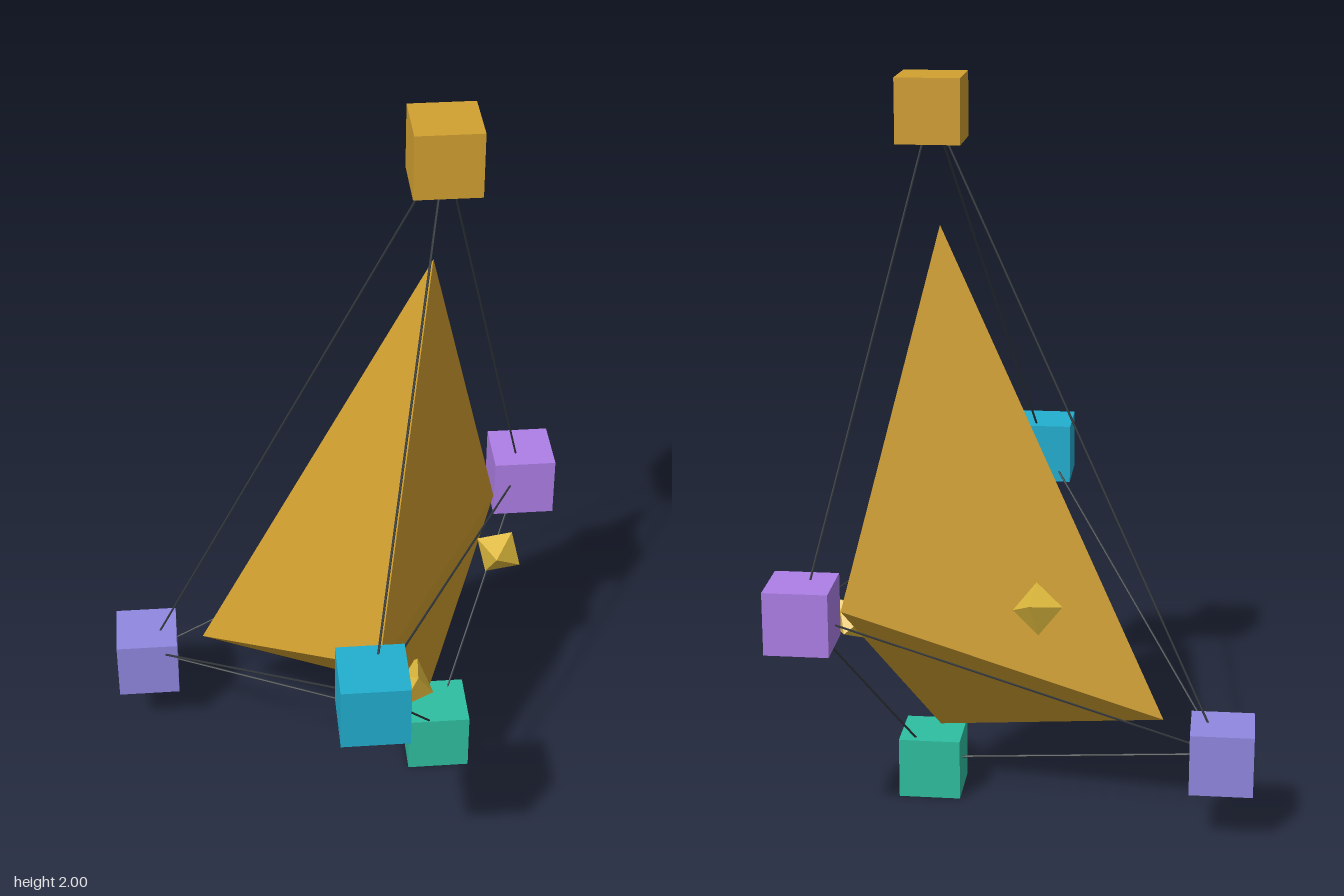
import * as THREE from 'three';
import { ConvexGeometry } from 'three/addons/geometries/ConvexGeometry.js';

const material = (color) => new THREE.MeshStandardMaterial({ color, flatShading: true });

// Corner nodes of the five-point frame
const nodes = [
  { name: 'topCube', at: [0.086, 1.915, 0.222], color: 0xd2a030 },
  { name: 'bottomCube', at: [0.084, 0.086, 0.245], color: 0x2ebfa0 },
  { name: 'rightCube', at: [-0.583, 0.812, 0.505], color: 0x22aed0 },
  { name: 'leftCube', at: [0.58, 0.66, 0.18], color: 0xae7fe6 },
  { name: 'backCube', at: [-0.29, 0.23, -0.505], color: 0x9088e0 },
].map((n) => ({ ...n, at: new THREE.Vector3(...n.at) }));

function addMesh(group, name, geometry, mat, position) {
  const mesh = new THREE.Mesh(geometry, mat);
  mesh.name = name;
  if (position) mesh.position.copy(position);
  group.add(mesh);
  return mesh;
}

export function createModel() {
  const model = new THREE.Group();
  model.name = 'crystalFrame';

  // Central crystal: a triangular bipyramid, the frame shrunk inwards
  const offset = new THREE.Vector3(0.013, 0.128, 0.029);
  const corners = nodes.map((n) => n.at.clone().multiplyScalar(0.774).add(offset));
  addMesh(model, 'crystalCore', new ConvexGeometry(corners), material(0xd2a030));

  // Corner cubes, all turned by the same angle
  const cube = new THREE.BoxGeometry(0.17, 0.17, 0.17);
  for (const n of nodes) {
    addMesh(model, n.name, cube, material(n.color), n.at).rotation.y = THREE.MathUtils.degToRad(41.5);
  }

  // Thin struts between every pair of cubes except top and bottom
  const strutMaterial = material(0x33383c);
  const up = new THREE.Vector3(0, 1, 0);
  for (let i = 0; i < nodes.length; i++) {
    for (let j = Math.max(i + 1, 2); j < nodes.length; j++) {
      const a = nodes[i].at, b = nodes[j].at;
      const dir = b.clone().sub(a);
      const strut = addMesh(model, 'strut', new THREE.CylinderGeometry(0.003, 0.003, dir.length(), 6),
        strutMaterial, a.clone().lerp(b, 0.5));
      strut.quaternion.setFromUnitVectors(up, dir.normalize());
    }
  }

  // Small octahedral gems resting on the crystal faces
  const gem = new THREE.OctahedronGeometry(0.07);
  const gemMaterial = material(0xdcb83c);
  const gems = [
    { at: [-0.165, 0.46, 0.325], turn: [0.5, 0.5, 0.35] },
    { at: [0.34, 0.56, 0.27], turn: [0.5, 0.3, -0.5] },
    { at: [0.05, 0.63, -0.145], turn: [0.2, 0.5, 0.3] },
  ];
  for (const g of gems) {
    addMesh(model, 'gem', gem, gemMaterial, new THREE.Vector3(...g.at)).rotation.set(...g.turn);
  }

  return model;
}
